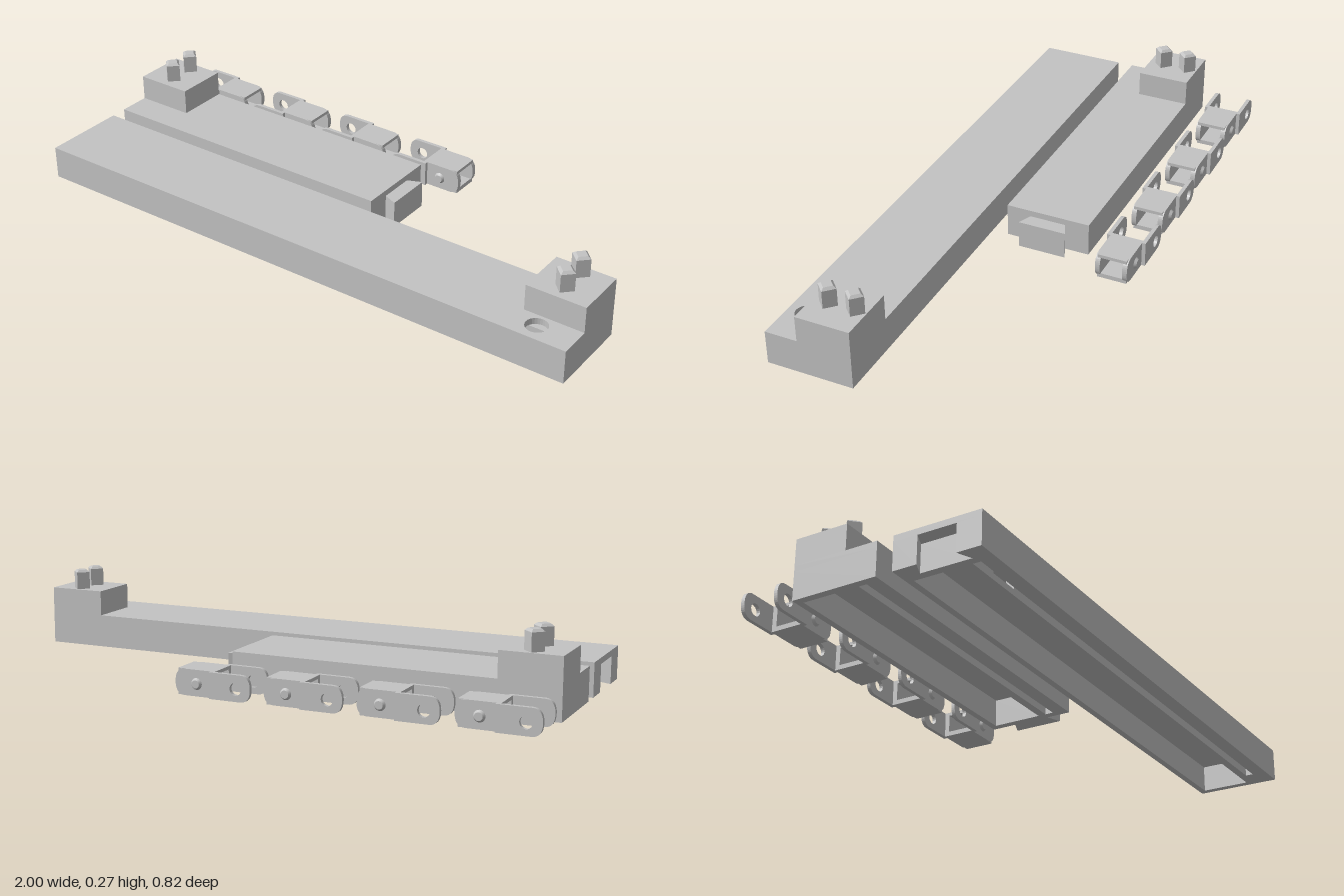
import * as THREE from 'three';

const grey = new THREE.MeshStandardMaterial({ color: 0xc3c3c3 });

function add(parent, name, geometry, x = 0, y = 0, z = 0) {
  const mesh = new THREE.Mesh(geometry, grey);
  mesh.name = name;
  mesh.position.set(x, y, z);
  parent.add(mesh);
  return mesh;
}

// Box given by its limits on each axis
function box(parent, name, x0, x1, y0, y1, z0, z1) {
  return add(parent, name, new THREE.BoxGeometry(x1 - x0, y1 - y0, z1 - z0),
    (x0 + x1) / 2, (y0 + y1) / 2, (z0 + z1) / 2);
}

// Plan outline of [x, z] points raised from y0 to y1; holes are wound against the outline
function plan(parent, name, points, y0, y1, holes = []) {
  const toVec = ([x, z]) => new THREE.Vector2(x, -z);
  const shape = new THREE.Shape(points.map(toVec));
  for (const h of holes) shape.holes.push(new THREE.Path(h.map(toVec).reverse()));
  const g = new THREE.ExtrudeGeometry(shape, { depth: y1 - y0, bevelEnabled: false });
  g.rotateX(-Math.PI / 2);
  return add(parent, name, g, 0, y0, 0);
}

const rect = (x0, x1, z0, z1) => [[x0, z0], [x1, z0], [x1, z1], [x0, z1]];

// Diamond pin with a chamfered tip
function pin(parent, x, z) {
  const flat = (g) => {
    const f = g.toNonIndexed();
    f.computeVertexNormals();
    return f;
  };
  add(parent, 'pinShaft', flat(new THREE.CylinderGeometry(0.032, 0.032, 0.06, 4, 1, true)), x, 0.23, z);
  add(parent, 'pinTip', flat(new THREE.CylinderGeometry(0.021, 0.032, 0.008, 4)), x, 0.264, z);
}

const WALL_TOP = 0.092, TOP = 0.113;

// Raised end block carrying two pins
function endBlock(parent, x0, x1, z0) {
  box(parent, 'endBlock', x0, x1, TOP, 0.2, z0, z0 + 0.181);
  for (const dz of [0.036, 0.127]) pin(parent, (x0 + x1) / 2, z0 + dz);
}

function longBeam() {
  const g = new THREE.Group();
  g.name = 'longBeam';
  const z0 = 0.122, z1 = 0.412, zc = 0.267;
  // Walls with a dovetail socket in the far end, a cavity and a narrow groove
  const outline = [[-1, z0], [1, z0], [1, z1], [-1, z1],
    [-1, zc + 0.064], [-0.952, zc + 0.085], [-0.952, zc - 0.085], [-1, zc - 0.064]];
  const cavity = [[-0.925, z0 + 0.022], [0.975, z0 + 0.022], [0.975, 0.31], [-0.71, 0.31],
    [-0.71, 0.337], [0.91, 0.337], [0.91, 0.363], [-0.925, 0.363],
    [-0.925, 0.337], [-0.82, 0.337], [-0.82, 0.31], [-0.925, 0.31]];
  plan(g, 'walls', outline, 0, WALL_TOP, [cavity]);
  box(g, 'ribBridge', -0.82, -0.71, 0, 0.02, 0.31, 0.337);
  // Top plate with a round hole
  const hole = [];
  for (let i = 0; i < 28; i++) {
    const a = (i / 28) * Math.PI * 2;
    hole.push([0.87 + 0.036 * Math.cos(a), 0.35 + 0.036 * Math.sin(a)]);
  }
  plan(g, 'topPlate', rect(-1, 1, z0, z1), WALL_TOP, TOP, [hole]);
  endBlock(g, 0.8, 1, z0);
  return g;
}

function shortBeam() {
  const g = new THREE.Group();
  g.name = 'shortBeam';
  const z0 = -0.223, z1 = 0.067, zc = -0.078, xe = 0.087;
  // Walls with a dovetail tongue, a cavity and a narrow groove
  const outline = [[-1, z0], [xe, z0], [xe, zc - 0.062], [0.135, zc - 0.082],
    [0.135, zc + 0.082], [xe, zc + 0.062], [xe, z1], [-1, z1]];
  plan(g, 'walls', outline, 0, WALL_TOP, [
    rect(-0.975, 0.062, z0 + 0.022, -0.035),
    rect(-0.975, 0.062, -0.008, 0.019),
  ]);
  plan(g, 'topPlate', rect(-1, xe, z0, z1), WALL_TOP, TOP);
  endBlock(g, -1, -0.8, z0);
  return g;
}

// Side plate in the x-y plane; one end rounded, with an optional pivot hole
function sidePlate(parent, name, x0, x1, roundLeft, holeX, z0, z1) {
  const h = 0.085, r = 0.034;
  const s = new THREE.Shape();
  if (roundLeft) {
    s.moveTo(x1, 0);
    s.lineTo(x1, h);
    s.lineTo(x0 + r, h);
    s.quadraticCurveTo(x0, h, x0, h / 2);
    s.quadraticCurveTo(x0, 0, x0 + r, 0);
  } else {
    s.moveTo(x0, 0);
    s.lineTo(x1 - r, 0);
    s.quadraticCurveTo(x1, 0, x1, h / 2);
    s.quadraticCurveTo(x1, h, x1 - r, h);
    s.lineTo(x0, h);
  }
  if (holeX !== null) {
    const hole = new THREE.Path();
    hole.absarc(holeX, 0.04, 0.02, 0, Math.PI * 2, true);
    s.holes.push(hole);
  }
  const g = new THREE.ExtrudeGeometry(s, { depth: z1 - z0, bevelEnabled: false, curveSegments: 10 });
  add(parent, name, g, 0, 0, z0);
}

// Chain link: wide fork with holes, narrower hollow body with pivot knobs
function link(x) {
  const g = new THREE.Group();
  g.name = 'chainLink';
  for (const side of [-1, 1]) {
    const span = (a, b) => (side > 0 ? [a, b] : [-b, -a]);
    sidePlate(g, 'forkPlate', 0, 0.142, true, 0.05, ...span(0.054, 0.067));
    sidePlate(g, 'bodySide', 0.128, 0.268, false, null, ...span(0.038, 0.0545));
    const knob = add(g, 'pivotKnob', new THREE.CylinderGeometry(0.013, 0.02, 0.01, 20), 0.193, 0.04, side * 0.058);
    knob.rotation.x = side * Math.PI / 2;
  }
  box(g, 'bodyTop', 0.128, 0.26, 0.074, 0.085, -0.05, 0.05);
  box(g, 'bodyBottom', 0.128, 0.26, 0, 0.015, -0.05, 0.05);
  g.position.set(x, 0, -0.346);
  return g;
}

export function createModel() {
  const model = new THREE.Group();
  model.name = 'railAndChainKit';
  model.add(longBeam(), shortBeam());
  for (let i = 0; i < 4; i++) model.add(link(-1 + i * 0.309));
  return model;
}
